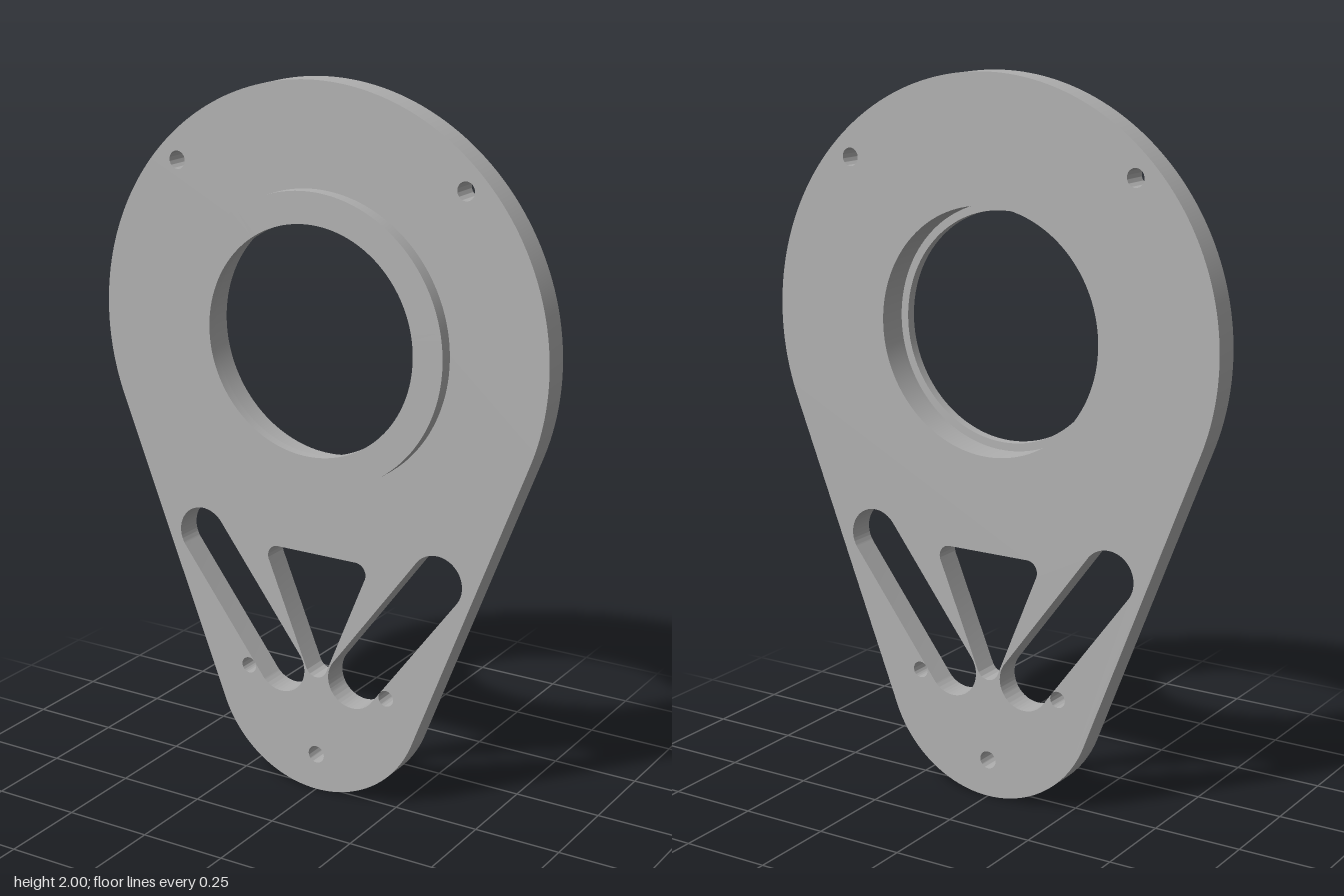
import * as THREE from 'three';
import { toCreasedNormals } from 'three/addons/utils/BufferGeometryUtils.js';

const BACK = -0.058, FACE = 0.019, FRONT = 0.058; // z levels
const CENTRE_Y = 1.315;                           // height of the main bore
const BORE = 0.338, LIP = 0.316, BOSS = 0.403;    // radii

// Outline wrapped tightly around circles [x, y, r] listed anticlockwise
function wrap(circles, path) {
  const n = circles.length;
  const tangent = circles.map(([x, y, r], i) => {
    const [x2, y2, r2] = circles[(i + 1) % n];
    const d = Math.hypot(x2 - x, y2 - y);
    return Math.atan2(y2 - y, x2 - x) - Math.acos((r - r2) / d);
  });
  circles.forEach(([x, y, r], i) => {
    path.absarc(x, y, r, tangent[(i + n - 1) % n], tangent[i], false);
  });
  path.closePath();
  return path;
}

function roundHole(x, y, r) {
  return new THREE.Path().absarc(x, y, r, 0, Math.PI * 2, false);
}

export function createModel() {
  const group = new THREE.Group();
  group.name = 'mountingPlate';
  const metal = new THREE.MeshStandardMaterial({ color: 0xb0b0b0 });
  metal.name = 'grey metal';

  const add = (name, geometry) => {
    const mesh = new THREE.Mesh(toCreasedNormals(geometry, 0.5), metal);
    mesh.name = name;
    group.add(mesh);
    return mesh;
  };

  // Teardrop plate
  const outline = wrap([[0, CENTRE_Y, 0.685], [0, 0.328, 0.328]], new THREE.Shape());

  // Main bore and lower screw hole
  outline.holes.push(roundHole(0, CENTRE_Y, BORE), roundHole(0, 0.107, 0.025));

  // Mirrored slots and screw holes
  for (const s of [-1, 1]) {
    outline.holes.push(
      wrap([[s * 0.375, 0.698, 0.077], [s * 0.116, 0.353, 0.077]], new THREE.Path()),
      roundHole(s * 0.44, 1.755, 0.025),
      roundHole(s * 0.224, 0.33, 0.023)
    );
  }

  // Rounded triangular cut-out
  outline.holes.push(wrap(
    [[0, 0.378, 0.035], [0.125, 0.676, 0.032], [-0.125, 0.676, 0.032]],
    new THREE.Path()
  ));

  const plate = new THREE.ExtrudeGeometry(outline, {
    depth: FACE - BACK, bevelEnabled: false, curveSegments: 64,
  });
  plate.translate(0, 0, BACK);
  add('plate', plate);

  // Raised boss with an inner retaining lip
  const profile = [
    [BOSS, FACE], [BOSS, FRONT], [LIP, FRONT], [LIP, 0.03], [BORE, 0.03], [BORE, FACE],
  ].map(([r, z]) => new THREE.Vector2(r, z));
  const boss = new THREE.LatheGeometry(profile, 128);
  boss.rotateX(Math.PI / 2);
  boss.translate(0, CENTRE_Y, 0);
  add('boss', boss);

  return group;
}
